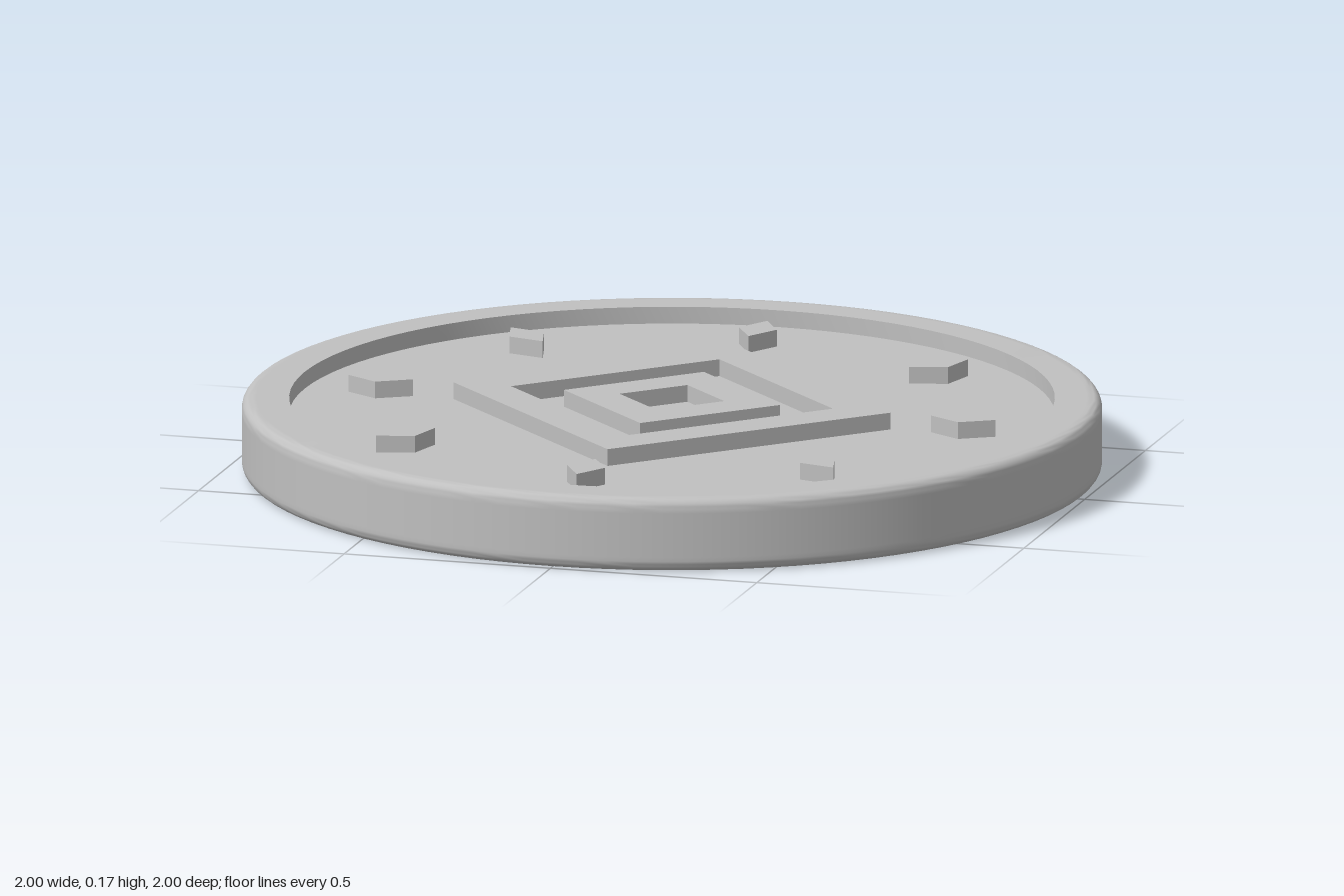
import * as THREE from 'three';
import { toCreasedNormals } from 'three/addons/utils/BufferGeometryUtils.js';

const HEIGHT = 0.175;   // rim height
const FLOOR = 0.135;    // recessed floor
const FILLET = 0.025;   // rounded outer edges

function rhombus(Type, halfX, halfY) {
  return new Type([
    new THREE.Vector2(halfX, 0), new THREE.Vector2(0, halfY),
    new THREE.Vector2(-halfX, 0), new THREE.Vector2(0, -halfY),
  ]);
}

// Stands a flat shape on the recessed floor, level with the rim
function raised(shape, material, name) {
  const sink = 0.005;
  const geometry = new THREE.ExtrudeGeometry(shape, { depth: HEIGHT - FLOOR + sink, bevelEnabled: false });
  geometry.rotateX(-Math.PI / 2);
  const mesh = new THREE.Mesh(geometry, material);
  mesh.position.y = FLOOR - sink;
  mesh.name = name;
  return mesh;
}

export function createModel() {
  const model = new THREE.Group();
  model.name = 'medallion';
  const stone = new THREE.MeshStandardMaterial({ color: 0xc0c0c0 });
  stone.name = 'grey';

  // Disc with rounded outer edges, raised rim and recessed floor
  const points = [[0, 0], [0.965, 0]];
  const corner = (cy, from) => {
    for (let i = 0; i <= 6; i++) {
      const a = from + (i / 6) * Math.PI / 2;
      points.push([1 - FILLET + FILLET * Math.cos(a), cy + FILLET * Math.sin(a)]);
    }
  };
  corner(FILLET, -Math.PI / 2);
  points.push([1, FILLET + 0.01], [1, HEIGHT - FILLET - 0.01]);
  corner(HEIGHT - FILLET, 0);
  points.push([0.965, HEIGHT], [0.89, HEIGHT], [0.89, FLOOR], [0, FLOOR]);
  const profile = points.map(([x, y]) => new THREE.Vector2(x, y));
  const disc = new THREE.Mesh(toCreasedNormals(new THREE.LatheGeometry(profile, 96), 0.7), stone);
  disc.name = 'disc';
  model.add(disc);

  // Two nested diamond frames in the middle
  for (const [outer, inner, name] of [[0.53, 0.39, 'outerDiamondFrame'], [0.262, 0.127, 'innerDiamondFrame']]) {
    const shape = rhombus(THREE.Shape, outer, outer);
    shape.holes.push(rhombus(THREE.Path, inner, inner));
    model.add(raised(shape, stone, name));
  }

  // Eight small diamonds pointing at the centre
  for (let i = 0; i < 8; i++) {
    const angle = i * Math.PI / 4;
    const stud = raised(rhombus(THREE.Shape, 0.078, 0.046), stone, 'diamondStud' + (i + 1));
    stud.position.x = 0.706 * Math.cos(angle);
    stud.position.z = -0.706 * Math.sin(angle);
    stud.rotation.y = angle;
    model.add(stud);
  }

  return model;
}
